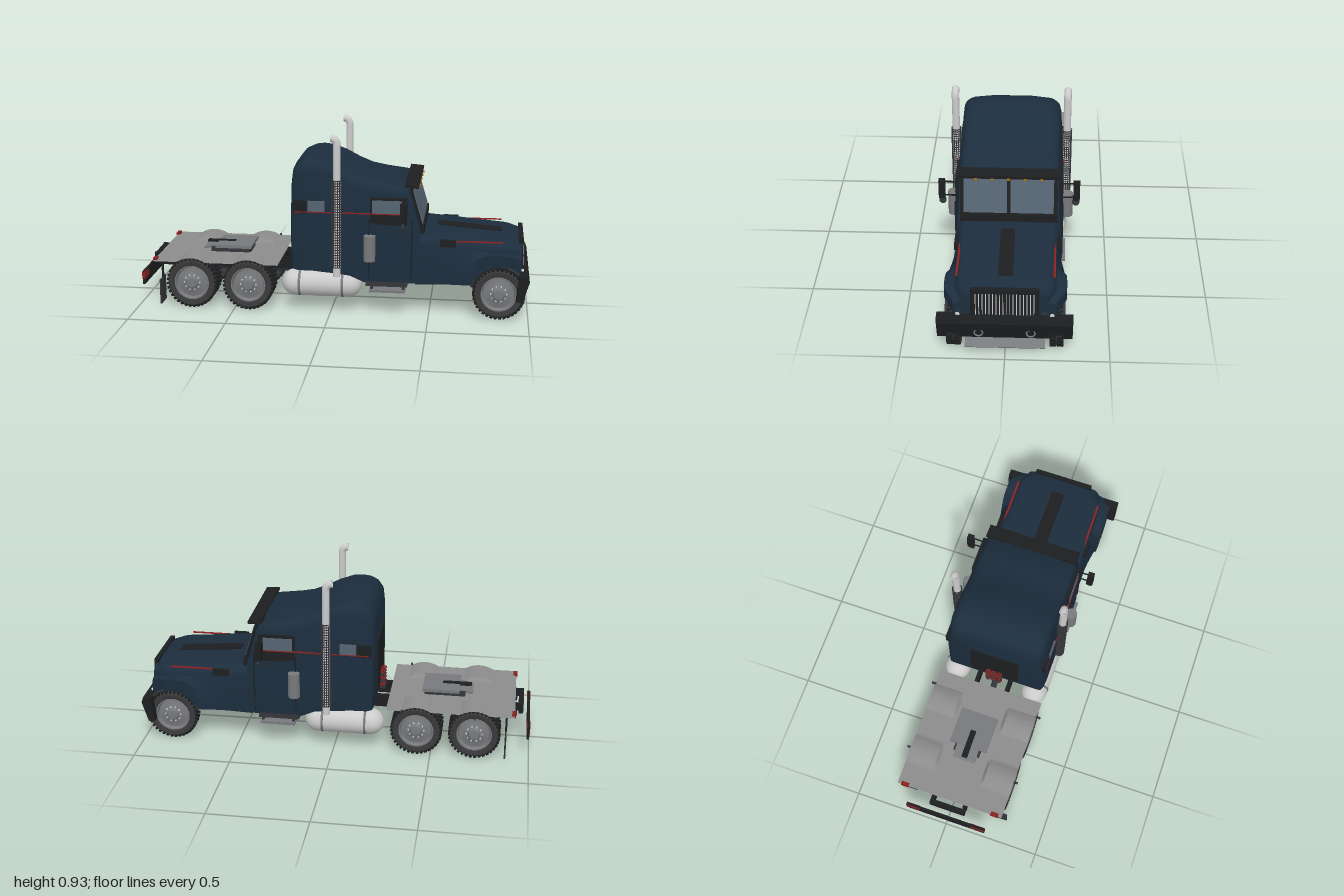
import * as THREE from 'three';
import { mergeGeometries, toCreasedNormals } from 'three/addons/utils/BufferGeometryUtils.js';

const mat = (color) => new THREE.MeshStandardMaterial({ color, side: THREE.DoubleSide });
const paint = mat(0x1c2d3d), black = mat(0x1c1e20), dark = mat(0x34363a), rubber = mat(0x3a3a3a);
const steel = mat(0x77797c), chrome = mat(0xcccccc), glass = mat(0x566472), plate = mat(0x8c8c8c);
const red = mat(0x8a2020), amber = mat(0xb06a10);

export function createModel() {
  const truck = new THREE.Group();
  truck.name = 'truck';

  const add = (name, geo, m, x = 0, y = 0, z = 0) => {
    const mesh = new THREE.Mesh(geo, m);
    mesh.name = name;
    mesh.position.set(x, y, z);
    truck.add(mesh);
    return mesh;
  };
  // box given by its extents on each axis
  const box = (name, m, [x0, x1], [y0, y1], [z0, z1]) =>
    add(name, new THREE.BoxGeometry(x1 - x0, y1 - y0, z1 - z0), m, (x0 + x1) / 2, (y0 + y1) / 2, (z0 + z1) / 2);
  const pair = (name, m, xs, ys, [z0, z1]) => {
    box(name, m, xs, ys, [z0, z1]);
    box(name, m, xs, ys, [-z1, -z0]);
  };
  const cyl = (name, m, r, h, x, y, z, axis = 'y', n = 20) => {
    const c = add(name, new THREE.CylinderGeometry(r, r, h, n), m, x, y, z);
    if (axis === 'z') c.rotation.x = Math.PI / 2;
    if (axis === 'x') c.rotation.z = Math.PI / 2;
    return c;
  };

  // loft along x; station = [x, bottom, top, halfWidthLow, halfWidthTop, cornerRadius]
  const loft = (stations, belt) => {
    const pos = [], idx = [];
    let n = 0;
    for (const [x, y0, y1, w0, w1, r] of stations) {
      const half = [[w0, y0], [w0, y0 + (y1 - y0) * belt]];
      for (let k = 0; k <= 6; k++) {
        const a = (k / 6) * Math.PI / 2;
        half.push([w1 - r + r * Math.cos(a), y1 - 0.012 - r + r * Math.sin(a)]);
      }
      half.push([w1 * 0.4, y1 - 0.002]);
      const ring = [...half, ...half.map(([z, y]) => [-z, y]).reverse()];
      n = ring.length;
      ring.forEach(([z, y]) => pos.push(x, y, z));
    }
    for (let i = 0; i < stations.length - 1; i++)
      for (let j = 0; j < n; j++) {
        const a = i * n + j, b = i * n + (j + 1) % n;
        idx.push(a, a + n, b, b, a + n, b + n);
      }
    const e = (stations.length - 1) * n;
    for (let j = 1; j < n - 1; j++) idx.push(0, j, j + 1, e, e + j + 1, e + j);
    const g = new THREE.BufferGeometry();
    g.setAttribute('position', new THREE.Float32BufferAttribute(pos, 3));
    g.setIndex(idx);
    return toCreasedNormals(g, 0.7);
  };

  // sleeper cab
  add('cab', loft([
    [-0.205, 0.24, 0.70, 0.235, 0.21, 0.06], [-0.197, 0.225, 0.745, 0.255, 0.23, 0.06],
    [-0.17, 0.22, 0.78, 0.265, 0.243, 0.06], [-0.13, 0.22, 0.797, 0.268, 0.25, 0.06],
    [-0.09, 0.22, 0.802, 0.268, 0.25, 0.06], [-0.04, 0.215, 0.797, 0.268, 0.25, 0.06],
    [0.03, 0.21, 0.772, 0.268, 0.25, 0.06], [0.1, 0.2, 0.735, 0.268, 0.25, 0.06],
    [0.17, 0.17, 0.705, 0.268, 0.25, 0.055], [0.24, 0.17, 0.69, 0.268, 0.25, 0.05],
    [0.37, 0.17, 0.672, 0.268, 0.246, 0.04], [0.4, 0.17, 0.64, 0.267, 0.245, 0.03],
    [0.45, 0.17, 0.47, 0.262, 0.25, 0.03],
  ], 0.55), paint);

  // bonnet with front wheel arches cut into its lower edge
  const bonnet = [];
  for (let i = 0; i <= 26; i++) {
    const x = 0.43 + 0.53 * i / 26, t = i / 26;
    const dx = x - 0.85;
    const arch = Math.abs(dx) < 0.142 ? 0.135 + Math.sqrt(0.142 ** 2 - dx * dx) : 0;
    const flare = THREE.MathUtils.smoothstep(x, 0.55, 0.8);
    const nose = THREE.MathUtils.smoothstep(x, 0.87, 0.965);
    bonnet.push([x, Math.max(0.165 + 0.02 * t, arch), 0.432 - 0.042 * t - 0.008 * nose,
      0.26 + 0.03 * flare - 0.05 * nose, 0.25 - 0.01 * flare - 0.035 * nose, 0.05]);
  }
  add('bonnet', loft(bonnet, 0.5), paint);
  const scoop = box('bonnetScoop', black, [0.53, 0.86], [0.402, 0.415], [-0.035, 0.035]);
  scoop.rotation.z = -0.08;
  pair('bonnetVent', black, [0.55, 0.63], [0.365, 0.4], [0.24, 0.258]);
  pair('bonnetStripe', red, [0.6, 0.86], [0.387, 0.392], [0.225, 0.236]);
  for (const s of [1, -1]) {
    const flareRim = add('fenderRim', new THREE.TorusGeometry(0.142, 0.007, 6, 24, 2.5), dark, 0.85, 0.135, s * 0.277);
    flareRim.rotation.z = 0.4;
  }

  // windscreen, visor and roof lamps
  const screen = new THREE.Group();
  screen.name = 'windscreen';
  const pane = (m, w, h, d, x, y, z) => {
    const p = new THREE.Mesh(new THREE.BoxGeometry(w, h, d), m);
    p.position.set(x, y, z);
    screen.add(p);
  };
  pane(black, 0.012, 0.215, 0.48, 0, 0, 0);
  for (const s of [1, -1]) pane(glass, 0.012, 0.172, 0.212, 0.004, 0.005, s * 0.115);
  screen.position.set(0.431, 0.548, 0);
  screen.rotation.z = 0.289;
  truck.add(screen);
  box('cowl', black, [0.42, 0.47], [0.425, 0.465], [-0.24, 0.24]);
  box('visor', black, [0.37, 0.44], [0.66, 0.674], [-0.245, 0.245]).rotation.z = -0.08;
  for (const z of [-0.16, -0.08, 0, 0.08, 0.16]) box('roofLamp', amber, [0.425, 0.445], [0.65, 0.66], [z - 0.007, z + 0.007]);

  // cab sides and back
  pair('doorWindowFrame', black, [0.2, 0.385], [0.47, 0.61], [0.25, 0.266]);
  pair('doorWindow', glass, [0.21, 0.36], [0.53, 0.597], [0.25, 0.269]);
  pair('sleeperWindow', glass, [-0.115, -0.03], [0.525, 0.585], [0.25, 0.27]);
  pair('sleeperPanel', black, [-0.19, -0.12], [0.52, 0.585], [0.25, 0.269]);
  pair('cabStripe', red, [-0.18, 0.36], [0.525, 0.53], [0.25, 0.2715]);
  for (const x of [0.195, 0.41]) pair('doorSeam', black, [x - 0.003, x + 0.003], [0.19, 0.5], [0.255, 0.27]);
  box('backPanel', black, [-0.212, -0.2], [0.28, 0.56], [-0.13, 0.13]);
  for (const z of [-0.03, 0, 0.03]) for (let k = 0; k < 6; k++) {
    const coil = add('airHose', new THREE.TorusGeometry(0.012, 0.004, 5, 10), k % 2 ? red : dark, -0.225, 0.25 + k * 0.018, z);
    coil.rotation.x = Math.PI / 2;
  }

  // mirrors, air cleaners, exhaust stacks, tanks and steps
  for (const s of [1, -1]) {
    box('mirror', black, [0.355, 0.385], [0.5, 0.6], [s * 0.333 - 0.016, s * 0.333 + 0.016]);
    for (const y of [0.51, 0.59]) cyl('mirrorArm', black, 0.004, 0.09, 0.37, y, s * 0.285, 'z', 8);
    cyl('roundMirror', dark, 0.018, 0.012, 0.37, 0.483, s * 0.33, 'x');
    cyl('airCleaner', steel, 0.03, 0.13, 0.2, 0.355, s * 0.29);
    cyl('airCleanerBracket', dark, 0.01, 0.06, 0.2, 0.355, s * 0.265, 'z');

    const z = s * 0.283;
    cyl('exhaustPipe', chrome, 0.019, 0.68, 0.035, 0.54, z);
    add('exhaustTip', new THREE.TubeGeometry(new THREE.QuadraticBezierCurve3(
      new THREE.Vector3(0.035, 0.875, z), new THREE.Vector3(0.035, 0.908, z), new THREE.Vector3(0.003, 0.911, z)),
    8, 0.019, 16), chrome);
    const mesh = [];
    for (let k = 0; k <= 34; k++)
      mesh.push(new THREE.TorusGeometry(0.024, 0.0025, 4, 16).rotateX(Math.PI / 2).translate(0, 0.25 + k * 0.0132, 0));
    for (let k = 0; k < 14; k++) {
      const a = k / 14 * Math.PI * 2;
      mesh.push(new THREE.BoxGeometry(0.004, 0.45, 0.004).translate(0.024 * Math.cos(a), 0.475, 0.024 * Math.sin(a)));
    }
    add('exhaustGuard', mergeGeometries(mesh), dark, 0.035, 0, z);

    const tank = add('fuelTank', new THREE.CapsuleGeometry(0.068, 0.28, 8, 24), chrome, -0.05, 0.143, s * 0.218);
    tank.rotation.z = Math.PI / 2;
    tank.scale.y = 0.985;
    for (const x of [-0.16, 0.06]) cyl('tankStrap', steel, 0.07, 0.012, x, 0.143, s * 0.218, 'x', 24);
  }
  pair('upperStep', dark, [0.18, 0.39], [0.15, 0.175], [0.18, 0.27]);
  pair('lowerStep', steel, [0.2, 0.38], [0.122, 0.135], [0.2, 0.285]);
  for (const x of [0.21, 0.37]) pair('stepHanger', dark, [x - 0.006, x + 0.006], [0.125, 0.17], [0.21, 0.27]);

  // grille, headlamps and sloped front bumper
  box('grille', black, [0.945, 0.968], [0.24, 0.392], [-0.16, 0.16]);
  for (let k = 0; k < 18; k++) {
    const z = -0.136 + k * 0.016;
    box('grilleBar', chrome, [0.966, 0.971], [0.25, 0.37], [z - 0.002, z + 0.002]);
  }
  pair('headlamp', dark, [0.935, 0.96], [0.245, 0.285], [0.175, 0.225]);
  for (const s of [1, -1]) cyl('headlampLens', chrome, 0.011, 0.012, 0.965, 0.243, s * 0.222, 'x');
  const profile = new THREE.Shape([[0.935, 0.11], [0.968, 0.11], [1.0, 0.215], [0.99, 0.245], [0.95, 0.245]]
    .map(([x, y]) => new THREE.Vector2(x, y)));
  add('frontBumper', new THREE.ExtrudeGeometry(profile, { depth: 0.64, bevelEnabled: false }), black, 0, 0, -0.32);
  for (const s of [1, -1]) {
    const fog = add('fogLamp', new THREE.TorusGeometry(0.02, 0.004, 6, 20), steel, 0.982, 0.15, s * 0.123);
    fog.rotation.y = Math.PI / 2;
  }
  box('bumperLip', steel, [0.9, 0.985], [0.075, 0.083], [-0.19, 0.19]).rotation.z = -0.6;

  // chassis and drive line
  pair('frameRail', black, [-0.93, 0.92], [0.17, 0.235], [0.075, 0.095]);
  for (const x of [-0.95, -0.57, -0.28, 0.1, 0.5]) box('crossMember', black, [x - 0.012, x + 0.012], [0.18, 0.23], [-0.095, 0.095]);
  pair('towArm', black, [-0.962, -0.9], [0.195, 0.235], [0.08, 0.095]);
  box('engine', dark, [0.45, 0.92], [0.13, 0.34], [-0.13, 0.13]);
  box('gearbox', dark, [0.15, 0.46], [0.12, 0.24], [-0.06, 0.06]);
  cyl('driveShaft', dark, 0.015, 0.9, -0.28, 0.145, 0, 'x');
  box('battery', dark, [0.18, 0.38], [0.14, 0.21], [0.1, 0.19]);
  box('toolBox', dark, [0.18, 0.38], [0.14, 0.21], [-0.19, -0.1]);

  // deck plate arched over the rear wheels
  const deck = new THREE.PlaneGeometry(0.65, 0.57, 65, 38).rotateX(-Math.PI / 2).translate(-0.595, 0, 0);
  const p = deck.attributes.position;
  for (let i = 0; i < p.count; i++) {
    let y = 0.244;
    if (Math.abs(p.getZ(i)) > 0.13) for (const cx of [-0.72, -0.425]) {
      const d = p.getX(i) - cx;
      if (Math.abs(d) < 0.13) y = Math.max(y, 0.133 + Math.sqrt(0.0178 - d * d));
    }
    p.setY(i, y);
  }
  add('deckPlate', toCreasedNormals(deck, 0.5), plate);
  box('couplingBase', dark, [-0.66, -0.45], [0.244, 0.27], [-0.07, 0.07]);
  box('couplingPlate', steel, [-0.63, -0.44], [0.272, 0.288], [-0.1, 0.1]);
  box('couplingRamp', steel, [-0.7, -0.62], [0.262, 0.274], [-0.06, 0.06]).rotation.z = 0.2;
  box('couplingSlot', black, [-0.69, -0.54], [0.28, 0.29], [-0.015, 0.015]);
  for (const x of [-0.72, -0.35]) pair('markerPost', dark, [x - 0.004, x + 0.004], [0.23, 0.25], [0.28, 0.305]);
  pair('tailLamp', red, [-0.925, -0.905], [0.235, 0.255], [0.225, 0.265]);
  pair('mudFlap', dark, [-0.883, -0.875], [0.02, 0.15], [0.205, 0.3]);
  pair('mudFlapHanger', black, [-0.884, -0.874], [0.15, 0.24], [0.24, 0.25]);
  box('rearBar', black, [-0.998, -0.985], [0.095, 0.165], [-0.215, 0.215]);
  pair('rearBarLamp', red, [-1.0, -0.983], [0.125, 0.163], [0.14, 0.215]);

  // wheels: the tyre, tread blocks and rim share a z axis
  const lathe = (pts) => new THREE.LatheGeometry(pts.map(([r, y]) => new THREE.Vector2(r, y)), 36).rotateX(Math.PI / 2);
  const tyreGeo = toCreasedNormals(lathe([[0.085, -0.026], [0.1, -0.033], [0.118, -0.033], [0.125, -0.025],
    [0.125, 0.025], [0.118, 0.033], [0.1, 0.033], [0.085, 0.026]]), 0.6);
  const lugs = [];
  for (let k = 0; k < 72; k++) {
    const side = k % 2 ? 1 : -1;
    lugs.push(new THREE.BoxGeometry(0.012, 0.012, 0.03).rotateY(side * 0.3)
      .translate(0, 0.126, side * 0.017).rotateZ(k / 72 * Math.PI * 2));
  }
  const lugGeo = mergeGeometries(lugs);
  const rimGeo = toCreasedNormals(lathe([[0.088, -0.026], [0.09, 0.03], [0.084, 0.03], [0.078, 0.012], [0.045, 0.016],
    [0.03, 0.024], [0.026, 0.034], [0, 0.036]]), 0.5);
  const nuts = [];
  for (let k = 0; k < 10; k++) {
    const a = k / 10 * Math.PI * 2;
    nuts.push(new THREE.CylinderGeometry(0.004, 0.004, 0.012, 6).rotateX(Math.PI / 2)
      .translate(0.04 * Math.cos(a), 0.04 * Math.sin(a), 0.02));
  }
  const nutGeo = mergeGeometries(nuts);
  const wheel = (name, x, z, s) => {
    const g = new THREE.Group();
    g.name = name;
    for (const [geo, m] of [[tyreGeo, rubber], [lugGeo, black], [rimGeo, steel], [nutGeo, chrome]]) g.add(new THREE.Mesh(geo, m));
    g.position.set(x, 0.133, z);
    if (s < 0) g.rotation.y = Math.PI;
    truck.add(g);
  };
  for (const s of [1, -1]) {
    wheel('frontWheel', 0.85, s * 0.245, s);
    for (const x of [-0.72, -0.425]) {
      wheel('rearOuterWheel', x, s * 0.246, s);
      wheel('rearInnerWheel', x, s * 0.172, s);
    }
  }
  cyl('frontAxle', dark, 0.018, 0.46, 0.85, 0.125, 0, 'z');
  for (const x of [-0.72, -0.425]) {
    cyl('rearAxle', dark, 0.025, 0.44, x, 0.133, 0, 'z');
    add('differential', new THREE.SphereGeometry(0.05, 16, 12), dark, x, 0.133, 0);
  }
  return truck;
}
